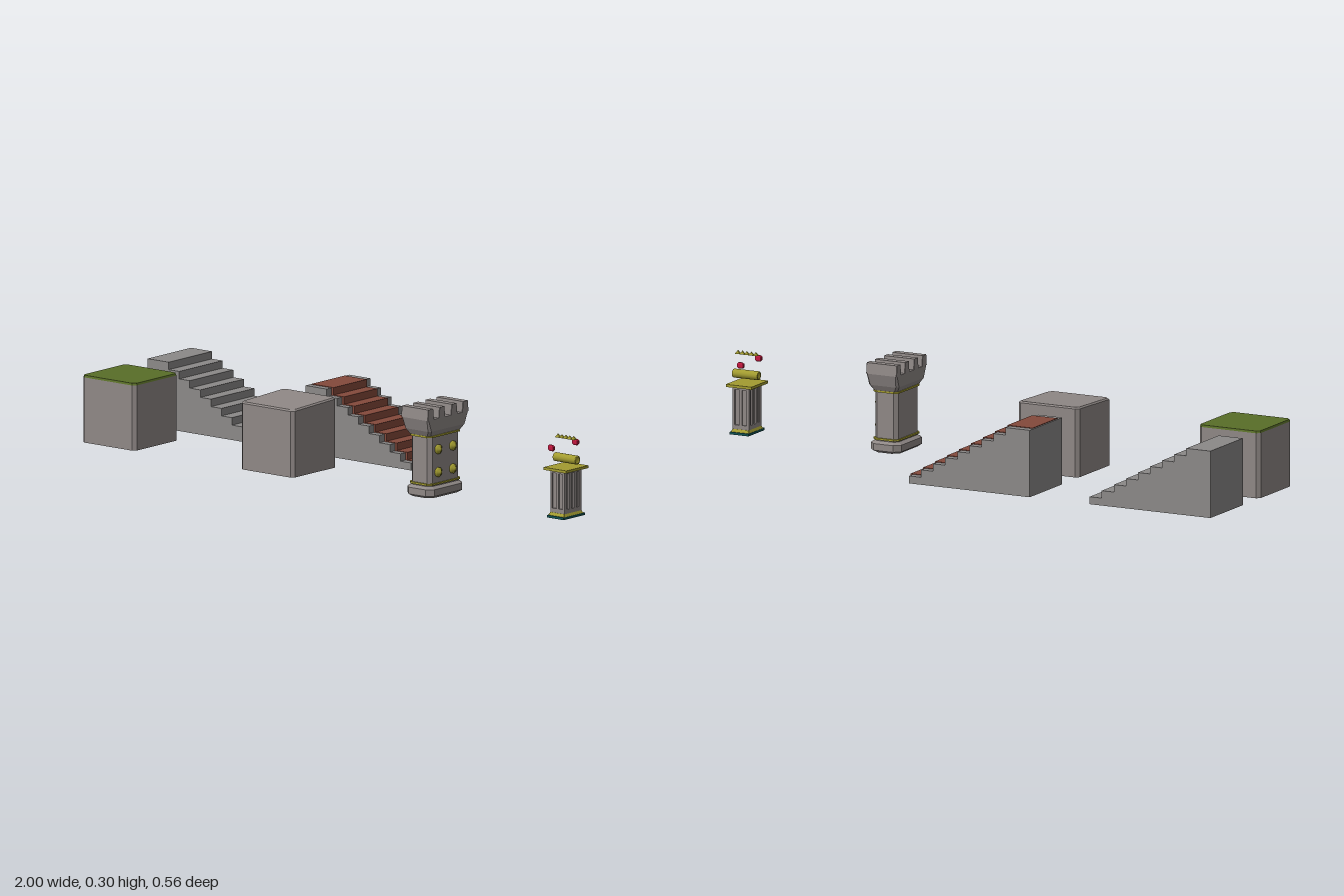
import * as THREE from 'three';

const mat = (name, color) => {
  const m = new THREE.MeshStandardMaterial({ color });
  m.name = name;
  return m;
};

// Stack of corner-cut rectangles: each section is [y, halfX, halfZ, cornerCut]
function loft(sections) {
  const rings = sections.map(([y, x, z, c]) => [
    [x, y, z - c], [x - c, y, z], [c - x, y, z], [-x, y, z - c],
    [-x, y, c - z], [c - x, y, -z], [x - c, y, -z], [x, y, c - z]]);
  const pos = [];
  const tri = (...pts) => pts.forEach((p) => pos.push(...p));
  for (let r = 0; r < rings.length - 1; r++) {
    for (let i = 0; i < 8; i++) {
      const j = (i + 1) % 8, lo = rings[r], up = rings[r + 1];
      tri(lo[i], up[i], up[j]);
      tri(lo[i], up[j], lo[j]);
    }
  }
  const top = rings[rings.length - 1], bottom = rings[0];
  for (let i = 1; i < 7; i++) {
    tri(top[0], top[i + 1], top[i]);
    tri(bottom[0], bottom[i], bottom[i + 1]);
  }
  const g = new THREE.BufferGeometry();
  g.setAttribute('position', new THREE.Float32BufferAttribute(pos, 3));
  g.computeVertexNormals();
  return g;
}

// Staircase falling towards +x, with a double-width landing at the top
function stairs(width, lift = 0, push = 0) {
  const run = 0.0445, rise = 0.0247, base = 0.003;
  const s = new THREE.Shape();
  s.moveTo(0, base);
  s.lineTo(10 * run + push, base);
  for (let i = 1; i <= 9; i++) {
    s.lineTo((11 - i) * run + push, base + i * rise + lift);
    if (i < 9) s.lineTo((10 - i) * run + push, base + i * rise + lift);
  }
  s.lineTo(0, base + 9 * rise + lift);
  return new THREE.ExtrudeGeometry(s, { depth: width, bevelEnabled: false }).translate(0, 0, -width / 2);
}

export function createModel() {
  const root = new THREE.Group();
  root.name = 'castlePieces';
  const stone = mat('stone', 0x8f8886);
  const stairStone = mat('stairStone', 0x8b8988);
  const grass = mat('grass', 0x596e28);
  const carpetRed = mat('carpetRed', 0x84493b);
  const gold = mat('gold', 0xa39c30);
  const teal = mat('teal', 0x0f4f50);
  const ruby = mat('ruby', 0xc4173f);

  const group = (name, x, z) => {
    const g = new THREE.Group();
    g.name = name;
    g.position.set(x, 0, z);
    root.add(g);
    return g;
  };
  const add = (parent, name, geo, material, x = 0, y = 0, z = 0) => {
    const m = new THREE.Mesh(geo, material);
    m.name = name;
    m.position.set(x, y, z);
    parent.add(m);
    return m;
  };
  const box = (x, y, z) => new THREE.BoxGeometry(x, y, z);

  // Grass-topped block
  const grassBlock = group('grassBlock', -0.888, 0.167);
  add(grassBlock, 'blockBody', loft([[0.003, 0.112, 0.112, 0.011], [0.219, 0.112, 0.112, 0.011]]), stone);
  add(grassBlock, 'grassTop', loft([[0.219, 0.112, 0.112, 0.011], [0.226, 0.11, 0.11, 0.011]]), grass);

  // Stone block with a slightly raised back edge
  const stoneBlock = group('stoneBlock', -0.221, 0.167);
  const blockGeo = loft([[0.003, 0.112, 0.112, 0.011], [0.222, 0.112, 0.112, 0.011], [0.227, 0.107, 0.107, 0.011]]);
  const p = blockGeo.attributes.position;
  for (let i = 0; i < p.count; i++) {
    if (p.getY(i) > 0.2) p.setY(i, p.getY(i) + (0.112 - p.getZ(i)) * 0.037);
  }
  blockGeo.computeVertexNormals();
  add(stoneBlock, 'blockBody', blockGeo, stone);

  // Plain and carpeted stairs
  add(group('plainStairs', -1, -0.168), 'steps', stairs(0.222), stairStone);
  const carpeted = group('carpetedStairs', -0.334, -0.168);
  add(carpeted, 'steps', stairs(0.222), stairStone);
  add(carpeted, 'carpet', stairs(0.17, 0.002, 0.004), carpetRed, 0.004, 0, 0.001);

  // Tower: foot, body, crown and merlons
  const tower = group('tower', 0.398, 0.169);
  add(tower, 'foot', loft([
    [0.003, 0.046, 0.08, 0.02], [0.011, 0.056, 0.091, 0.02],
    [0.033, 0.056, 0.091, 0.02], [0.041, 0.044, 0.079, 0.014]]), stone);
  add(tower, 'body', loft([[0.035, 0.043, 0.077, 0.012], [0.215, 0.043, 0.077, 0.012]]), stone);
  add(tower, 'crown', loft([
    [0.209, 0.044, 0.082, 0.008], [0.227, 0.055, 0.092, 0.008], [0.267, 0.056, 0.104, 0.004]]), stone);
  for (const y of [0.0445, 0.203]) {
    add(tower, 'goldBand', loft([[y, 0.047, 0.083, 0.013], [y + 0.006, 0.047, 0.083, 0.013]]), gold);
  }
  const merlon = loft([[0.266, 0.056, 0.0165, 0.001], [0.302, 0.056, 0.0125, 0.001]]);
  [-0.088, -0.031, 0.031, 0.088].forEach((z) => add(tower, 'merlon', merlon, stone, 0, 0, z));

  // Round studs on the outer face
  const studGeo = new THREE.LatheGeometry([
    [0.0, 0.014], [0.007, 0.012], [0.0105, 0.006], [0.016, 0.005], [0.016, -0.002]]
    .reverse().map(([r, y]) => new THREE.Vector2(r, y)), 12).rotateZ(-Math.PI / 2);
  for (const y of [0.085, 0.161]) {
    for (const z of [-0.037, 0.037]) add(tower, 'stud', studGeo, gold, 0.043, y, z);
  }

  // Fluted pillar
  const pillar = group('pillar', 0.948, 0.167);
  add(pillar, 'footPlate', box(0.07, 0.008, 0.109), teal, 0, 0.004, 0);
  add(pillar, 'goldFoot', loft([[0.008, 0.034, 0.05, 0.002], [0.017, 0.03, 0.044, 0.002]]), gold);
  add(pillar, 'goldCap', box(0.095, 0.009, 0.114), gold, 0, 0.161, 0);
  add(pillar, 'core', box(0.05, 0.141, 0.076), stone, 0, 0.0865, 0);
  add(pillar, 'shaftFoot', box(0.06, 0.016, 0.086), stone, 0, 0.023, 0);
  add(pillar, 'shaftHead', box(0.06, 0.009, 0.086), stone, 0, 0.1525, 0);
  for (const s of [-1, 1]) {
    for (const z of [-0.037, -0.0125, 0.0125, 0.037]) {
      add(pillar, 'sideRib', box(0.006, 0.12, 0.0115), stone, s * 0.027, 0.089, z);
    }
    for (const x of [-0.026, 0, 0.026]) {
      add(pillar, 'faceRib', box(0.008, 0.12, 0.006), stone, x, 0.089, s * 0.04);
    }
  }

  // Scroll hovering over the cap
  const scroll = new THREE.LatheGeometry([
    [0, -0.043], [0.009, -0.043], [0.0095, -0.046], [0.0145, -0.046], [0.0145, 0.046],
    [0.0095, 0.046], [0.009, 0.043], [0, 0.043]]
    .map(([r, y]) => new THREE.Vector2(r, y)), 14).rotateZ(-Math.PI / 2);
  add(pillar, 'scroll', scroll, gold, 0.002, 0.192, 0);

  // Gems on either side of the scroll
  const gem = loft([
    [-0.010, 0.008, 0.003, 0.002], [-0.005, 0.0125, 0.0055, 0.002],
    [0.005, 0.0125, 0.0055, 0.002], [0.010, 0.008, 0.003, 0.002]]);
  for (const s of [-1, 1]) add(pillar, 'gem', gem, ruby, -0.01, 0.235, s * 0.0615);

  // Row of small spikes floating on top
  const spike = new THREE.ConeGeometry(0.011, 0.012, 4).rotateY(Math.PI / 4);
  for (let i = -2; i <= 2; i++) add(pillar, 'spike', spike, gold, i * 0.0165, 0.264, 0);
  add(pillar, 'spikeBar', box(0.082, 0.002, 0.012), gold, 0, 0.259, 0);

  return root;
}
